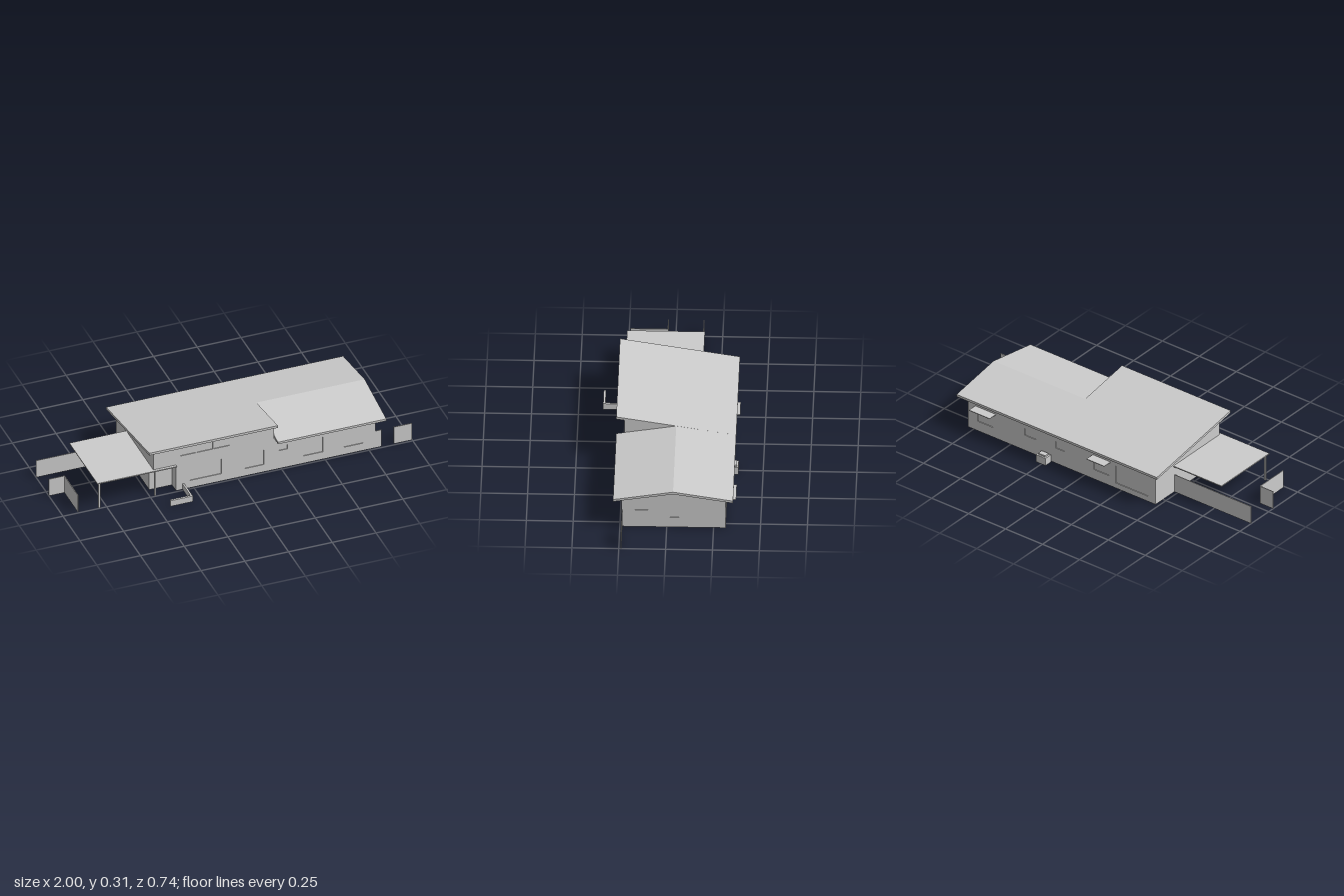
import * as THREE from 'three';

const grey = new THREE.MeshStandardMaterial({ color: 0xcccccc });
grey.name = 'plaster grey';

export function createModel() {
  const house = new THREE.Group();
  house.name = 'house';

  const add = (name, geometry, parent = house) => {
    const mesh = new THREE.Mesh(geometry, grey);
    mesh.name = name;
    parent.add(mesh);
    return mesh;
  };

  // Box given by its limits on each axis
  const box = (name, [x0, x1], [y0, y1], [z0, z1], parent) => {
    const g = new THREE.BoxGeometry(x1 - x0, y1 - y0, z1 - z0);
    g.translate((x0 + x1) / 2, (y0 + y1) / 2, (z0 + z1) / 2);
    return add(name, g, parent);
  };

  // Slab with an outline in (x, y) or (z, y), spanning a..b on the other axis
  const slab = (axis, outline, a, b, holes = []) => {
    const shape = new THREE.Shape(outline.map(([u, v]) => new THREE.Vector2(u, v)));
    for (const [u0, u1, v0, v1] of holes) {
      shape.holes.push(new THREE.Path([
        new THREE.Vector2(u0, v0), new THREE.Vector2(u0, v1),
        new THREE.Vector2(u1, v1), new THREE.Vector2(u1, v0),
      ]));
    }
    const g = new THREE.ExtrudeGeometry(shape, { depth: b - a, bevelEnabled: false });
    if (axis === 'x') g.rotateY(-Math.PI / 2).translate(b, 0, 0);
    else g.translate(0, 0, a);
    return g;
  };

  // Wall with window openings and panes set just inside them
  const wall = (name, axis, outline, a, b, windows = []) => {
    const group = new THREE.Group();
    group.name = name;
    house.add(group);
    add(name + 'Panel', slab(axis, outline, a, b, windows), group);
    const span = [a + 0.004, b - 0.004];
    for (const [u0, u1, v0, v1] of windows) {
      if (axis === 'x') box('windowPane', span, [v0, v1], [u0, u1], group);
      else box('windowPane', [u0, u1], [v0, v1], span, group);
    }
  };

  const T = 0.012; // wall thickness

  // Roofs: long single pitch on the right, ridge with two pitches on the left
  add('tallRoof', slab('x', [[-0.355, 0.191], [0.285, 0.296], [0.285, 0.31], [-0.355, 0.205]], -0.52, 0.215));
  add('gableRoof', slab('x', [[-0.355, 0.191], [-0.035, 0.243], [0.285, 0.19], [0.285, 0.203],
    [-0.035, 0.257], [-0.355, 0.205]], 0.215, 0.835));

  // Front walls, with three high windows under the tall roof
  const highWindows = [0, 1, 2].map(i => [-0.325 + i * 0.096, -0.235 + i * 0.096, 0.217, 0.266]);
  wall('tallFrontWall', 'z', [[-0.35, 0], [0.21, 0], [0.21, 0.288], [-0.48, 0.288], [-0.48, 0.165], [-0.35, 0.165]],
    0.24 - T, 0.24, [...highWindows, [-0.27, -0.09, 0.047, 0.142], [0.045, 0.153, 0.047, 0.142]]);
  wall('lowFrontWall', 'z', [[0.21, 0], [0.79, 0], [0.79, 0.197], [0.21, 0.197]], 0.24 - T, 0.24,
    [[0.24, 0.287, 0.115, 0.143], [0.38, 0.49, 0.047, 0.142], [0.61, 0.72, 0.047, 0.142]]);

  // Back wall
  wall('backWall', 'z', [[-0.48, 0], [0.79, 0], [0.79, 0.197], [-0.48, 0.197]], -0.315, -0.315 + T, [
    [-0.43, -0.21, 0.032, 0.137], [-0.165, -0.065, 0.06, 0.137], [0.137, 0.197, 0.095, 0.137],
    [0.33, 0.405, 0.095, 0.137], [0.62, 0.725, 0.06, 0.137]]);

  // End walls and the gable between the two roofs
  wall('gableEndWall', 'x', [[-0.315, 0], [0.24, 0], [0.24, 0.197], [-0.035, 0.243], [-0.315, 0.197]],
    0.79 - T, 0.79, [[0.1, 0.17, 0.107, 0.143], [-0.065, -0.01, 0.063, 0.143]]);
  wall('carportEndWall', 'x', [[-0.315, 0], [0.18, 0], [0.18, 0.165], [0.24, 0.165], [0.24, 0.288], [-0.315, 0.197]],
    -0.48, -0.48 + T);
  wall('roofStepWall', 'x', [[-0.035, 0.2], [0.24, 0.19], [0.24, 0.288], [-0.035, 0.243]], 0.21 - T, 0.21);

  // Recessed entry
  box('entryWall', [-0.48, -0.35], [0, 0.165], [0.18 - T, 0.18]);
  box('entrySideWall', [-0.35, -0.35 + T], [0, 0.165], [0.17, 0.24]);

  // Carport
  box('carportRoof', [-0.805, -0.48], [0.16, 0.166], [-0.16, 0.255]);
  box('entryCanopy', [-0.48, -0.35], [0.16, 0.166], [0.18, 0.255]);
  for (const x of [-0.79, -0.47]) box('carportPost', [x - 0.005, x + 0.005], [0, 0.16], [0.235, 0.245]);

  // Garden fences
  const F = 0.107;
  box('backFence', [-1, -0.48], [0, F], [-0.152, -0.148]);
  box('sideFence', [-0.912, -0.908], [0, F], [0.04, 0.24]);
  box('returnFence', [-1, -0.91], [0, F], [0.038, 0.042]);
  box('gateFence', [0.79, 0.825], [0, F], [0.236, 0.24]);
  box('outerFence', [0.895, 1], [0, F], [0.236, 0.24]);

  // Low L-shaped wall by the entry
  box('planterSide', [-0.313, -0.303], [0, 0.036], [0.24, 0.369]);
  box('planterFront', [-0.43, -0.313], [0, 0.036], [0.357, 0.369]);

  // Awnings and the unit on the ground at the back
  for (const [x0, x1] of [[-0.175, -0.055], [0.6, 0.74]]) box('awning', [x0, x1], [0.146, 0.15], [-0.369, -0.315]);
  box('outdoorUnit', [0.222, 0.288], [0, 0.045], [-0.369, -0.322]);
  box('outdoorUnitCap', [0.232, 0.278], [0.045, 0.054], [-0.36, -0.33]);

  // Interior partitions
  const H = 0.19;
  for (const [x0, x1, z] of [[-0.3, -0.02, -0.06], [0.06, 0.5, -0.06], [0.56, 0.78, -0.1], [0.06, 0.3, 0.03], [0.36, 0.7, 0.03]]) {
    box('longPartition', [x0, x1], [0, H], [z - 0.004, z + 0.004]);
  }
  for (const x of [-0.19, 0.06, 0.28, 0.5]) box('backPartition', [x - 0.004, x + 0.004], [0, H], [-0.303, -0.06]);
  for (const x of [-0.02, 0.2, 0.33, 0.55]) box('frontPartition', [x - 0.004, x + 0.004], [0, H], [0.03, 0.228]);

  // Furniture blocks
  const furniture = [[0.72, 0.16], [0.67, -0.04], [0.42, 0.14], [0.4, -0.19], [0.1, 0.14], [0.17, -0.24],
    [-0.27, 0.11], [-0.13, -0.12], [-0.34, -0.13], [0.64, -0.22]];
  for (const [x, z] of furniture) box('furniture', [x - 0.05, x + 0.05], [0.03, 0.055], [z - 0.04, z + 0.04]);

  return house;
}
